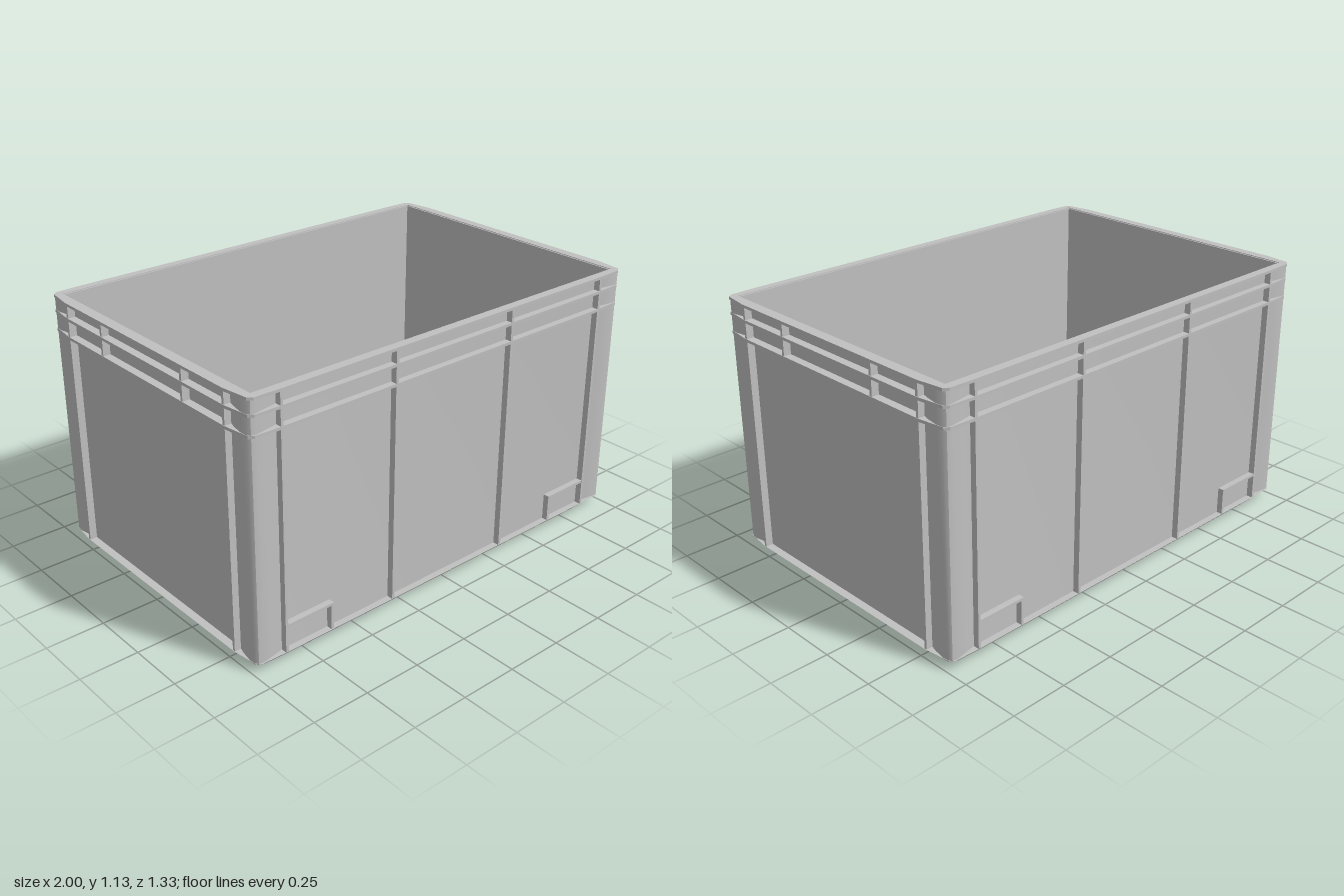
import * as THREE from 'three';
import { toCreasedNormals } from 'three/addons/utils/BufferGeometryUtils.js';

const HEIGHT = 1.13, FLANGE = 0.04, RIB = 0.012;

// Closed outline mirrored from one quadrant, listed from the z side round to the x side
function outline(quadrant) {
  const back = [...quadrant].reverse();
  const points = [
    ...back.map(([x, z]) => [x, z]),
    ...quadrant.map(([x, z]) => [-x, z]),
    ...back.map(([x, z]) => [-x, -z]),
    ...quadrant.map(([x, z]) => [x, -z]),
  ];
  return points.map(([x, z]) => new THREE.Vector2(x, z));
}

// Horizontal slab from y0 to y1, with an optional rectangular opening
function slab(points, y0, y1, hole) {
  const shape = new THREE.Shape(points);
  if (hole) shape.holes.push(new THREE.Path(outline([hole])));
  const geometry = new THREE.ExtrudeGeometry(shape, { depth: y1 - y0, bevelEnabled: false });
  return geometry.rotateX(-Math.PI / 2).translate(0, y0, 0);
}

export function createModel() {
  const crate = new THREE.Group();
  crate.name = 'storageCrate';
  const plastic = new THREE.MeshStandardMaterial({ color: 0xc0c0c0 });
  plastic.name = 'greyPlastic';

  function add(name, geometry) {
    const mesh = new THREE.Mesh(geometry, plastic);
    mesh.name = name;
    crate.add(mesh);
    return mesh;
  }
  function box(name, x0, x1, y0, y1, z0, z1) {
    const geometry = new THREE.BoxGeometry(x1 - x0, y1 - y0, Math.abs(z1 - z0));
    add(name, geometry).position.set((x0 + x1) / 2, (y0 + y1) / 2, (z0 + z1) / 2);
  }

  const rimOutline = outline([[0.85, 0.664], [0.965, 0.66], [0.985, 0.645], [1, 0.53]]);
  // Recessed panels whose corners swell out to the rim
  const wallOutline = outline([
    [0.85, 0.635], [0.9, 0.645], [0.955, 0.655], [0.975, 0.651],
    [0.985, 0.638], [0.987, 0.61], [0.978, 0.56], [0.966, 0.52],
  ]);

  // Base with sides tapering in towards the ground
  const base = slab(rimOutline, 0, FLANGE);
  const p = base.attributes.position;
  for (let i = 0; i < p.count; i++) {
    if (p.getY(i) < 0.01) p.setXYZ(i, p.getX(i) * 0.955, 0, p.getZ(i) * 0.94);
  }
  base.computeVertexNormals();
  add('base', base);

  // Walls around the open box
  add('walls', toCreasedNormals(slab(wallOutline, FLANGE - 0.005, HEIGHT - 0.003, [0.95, 0.62]), 0.7));

  // Three horizontal ledges around the rim
  for (const top of [HEIGHT, 1.066, 0.986]) {
    add('rimLedge', slab(rimOutline, top - RIB, top, [0.957, 0.627]));
  }

  const h = RIB / 2;
  for (const s of [-1, 1]) {
    // Upright ribs on the long sides
    for (const x of [-0.85, -0.31, 0.31, 0.85]) {
      box('longSideRib', x - h, x + h, FLANGE, HEIGHT - 0.004, s * 0.626, s * 0.663);
    }
    // Bracket ledges at the feet of the long sides
    for (const m of [-1, 1]) {
      const xs = [m * 0.62, m * 0.85].sort((a, b) => a - b);
      box('footLedge', xs[0], xs[1], 0.148, 0.16, s * 0.626, s * 0.662);
      box('footUpright', m * 0.626 - h, m * 0.626 + h, FLANGE, 0.155, s * 0.626, s * 0.661);
    }
    // Full-height and short rim ribs on the short sides
    for (const [z, y0] of [[-0.525, FLANGE], [-0.27, 0.98], [0.27, 0.98], [0.525, FLANGE]]) {
      const xs = [s * 0.957, s * 0.998].sort((a, b) => a - b);
      box('shortSideRib', xs[0], xs[1], y0, HEIGHT - 0.004, z - h, z + h);
    }
  }
  return crate;
}
